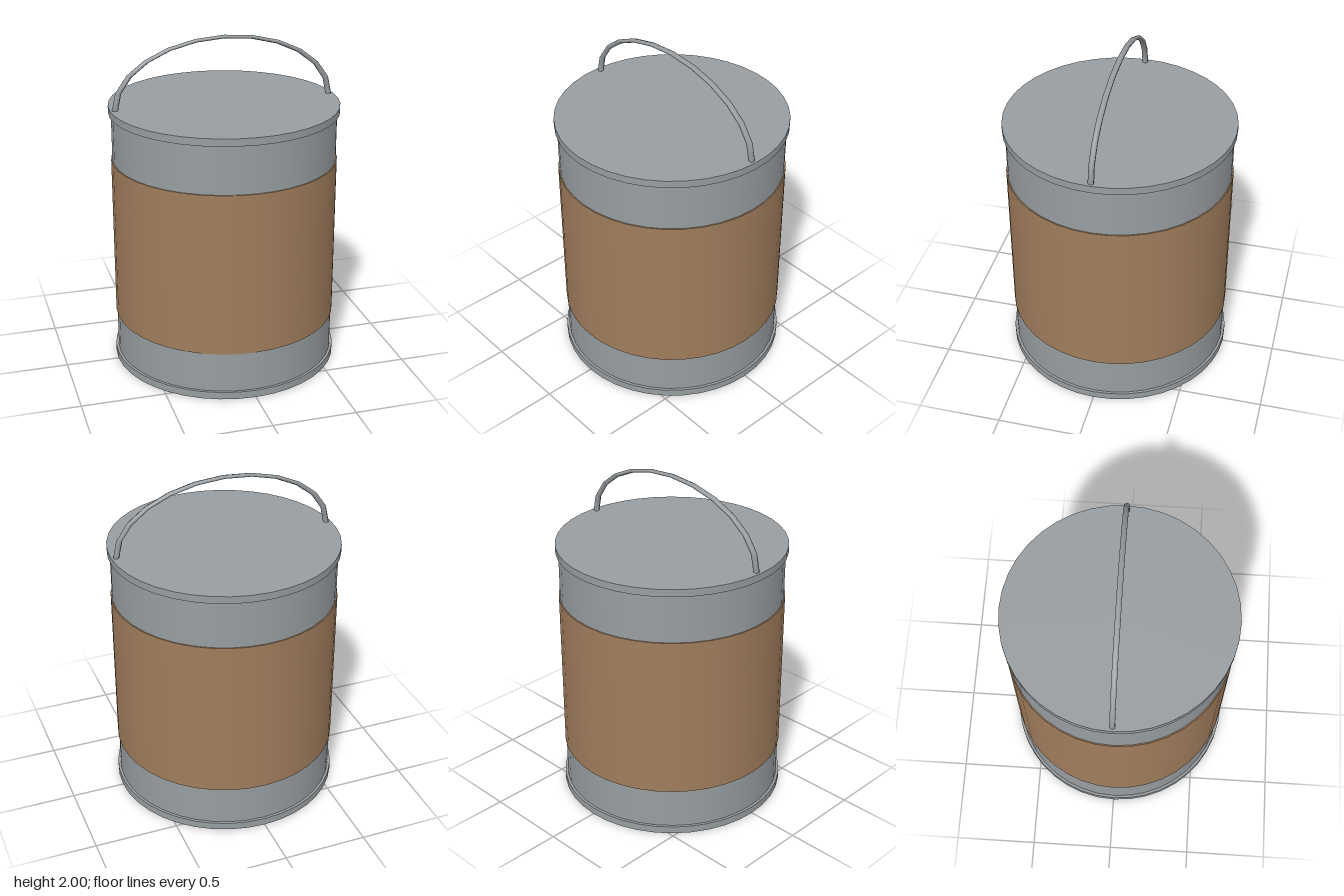
import * as THREE from 'three';

export function createModel() {
  const model = new THREE.Group();
  const metal = new THREE.MeshStandardMaterial({ color: 0x979da1 });
  metal.name = 'grey metal';
  const paper = new THREE.MeshStandardMaterial({ color: 0xa07d5c });
  paper.name = 'brown label';

  // Upright drum between two heights
  const drum = (name, radius, y0, y1, material, open = false) => {
    const mesh = new THREE.Mesh(
      new THREE.CylinderGeometry(radius, radius, y1 - y0, 40, 1, open), material);
    mesh.position.y = (y0 + y1) / 2;
    mesh.name = name;
    model.add(mesh);
  };

  drum('canBody', 0.664, 0.02, 1.58, metal);
  drum('bottomRim', 0.68, 0, 0.045, metal);
  drum('lid', 0.68, 1.556, 1.6, metal);

  // Wrap-around label, with thin edges above and below
  drum('label', 0.671, 0.29, 1.27, paper);

  // Wire bail: a flattened half ring standing on the lid
  const handle = new THREE.Mesh(
    new THREE.TorusGeometry(0.65, 0.018, 6, 12, Math.PI), metal);
  handle.scale.y = 0.6;
  handle.position.y = 1.6;
  handle.name = 'handle';
  model.add(handle);

  return model;
}
